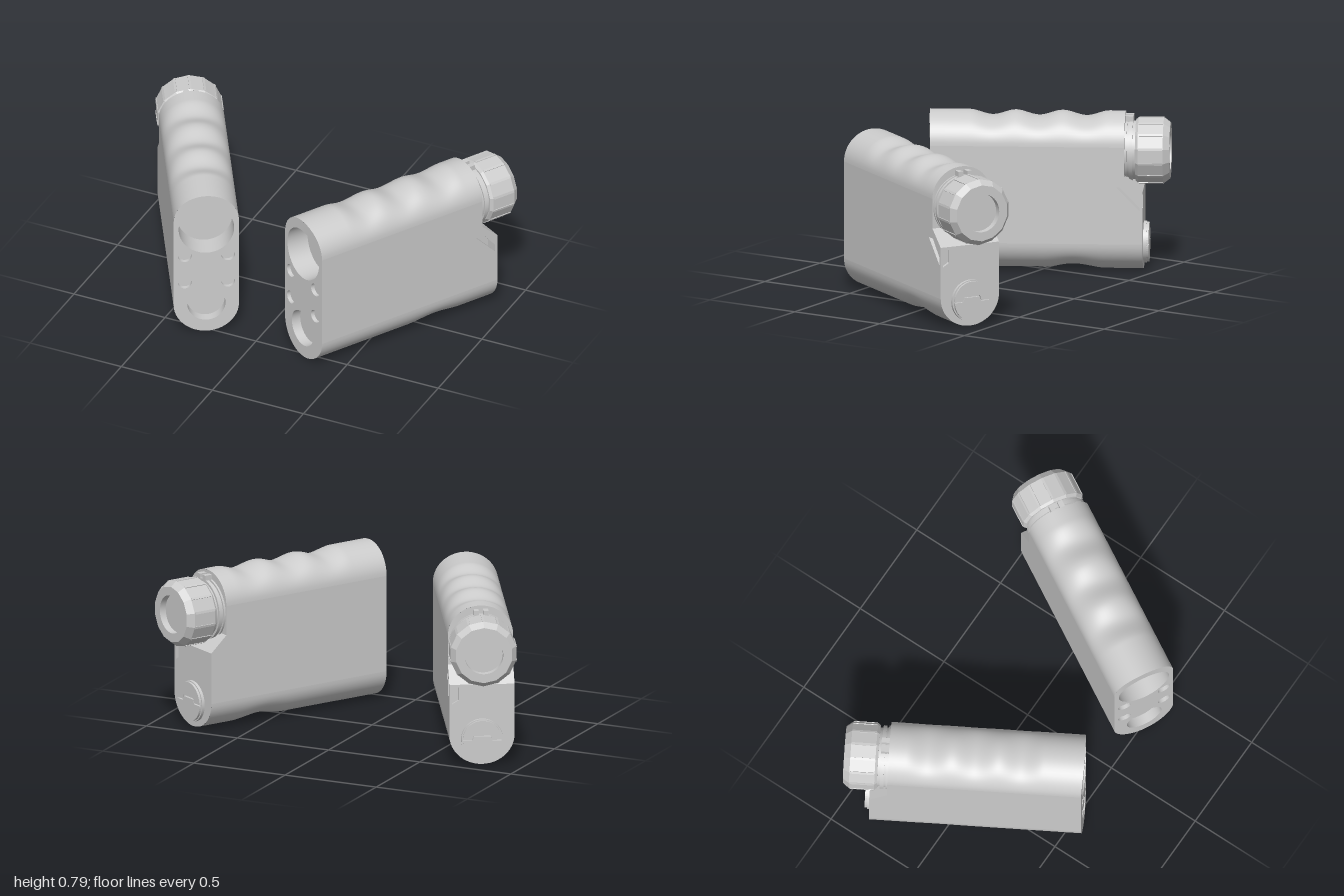
import * as THREE from 'three';

const HW = 0.162, ARCH = 0.15;           // half width and height of the rounded top and bottom
const YT = 0.64, YB = 0.15;              // where the flat sides meet the rounded parts
const FRONT = 0.592, BACK_TOP = -0.37, BACK_LOW = -0.46;

const mat = new THREE.MeshStandardMaterial({ color: 0xcccccc });
const flat = new THREE.MeshStandardMaterial({ color: 0xcccccc, flatShading: true });
const bow = x => FRONT + 0.008 * (1 - (x / HW) ** 2);
const hump = (z, c, w) => { const s = Math.max(0, 1 - Math.abs(z - c) / w); return s * s * (3 - 2 * s); };

function add(group, name, geo, material = mat) {
  const m = new THREE.Mesh(geo, material);
  m.name = name;
  group.add(m);
  return m;
}
const V = list => list.map(([x, y]) => new THREE.Vector2(x, y));
const circle = (cx, cy, r, n = 36, a0 = 0, a1 = 2 * Math.PI) => Array.from({ length: n }, (_, i) => {
  const a = a0 + (a1 - a0) * i / n;
  return new THREE.Vector2(cx + r * Math.cos(a), cy + r * Math.sin(a));
});
const archPoints = (cy, a0, n = 24) => Array.from({ length: n + 1 }, (_, i) => {
  const a = a0 + Math.PI * i / n;
  return new THREE.Vector2(HW * Math.cos(a), cy + ARCH * Math.sin(a));
});
function face(outline, holes = []) {
  const s = new THREE.Shape(outline);
  holes.forEach(h => s.holes.push(new THREE.Path(h)));
  return new THREE.ShapeGeometry(s);
}
function buffer(pos, idx) {
  const g = new THREE.BufferGeometry();
  g.setAttribute('position', new THREE.Float32BufferAttribute(pos, 3));
  g.setIndex(idx);
  g.computeVertexNormals();
  return g;
}

// Inward-facing walls and floor of a hole, opening towards +z
function pocket(group, name, pts, depth, rim = () => 0, place = g => g) {
  const pos = [], idx = [], n = pts.length;
  pts.forEach(p => pos.push(p.x, p.y, rim(p.x), p.x, p.y, rim(p.x) - depth));
  for (let i = 0; i < n; i++) {
    const a = 2 * i, b = 2 * ((i + 1) % n);
    idx.push(a, b, b + 1, a, b + 1, a + 1);
  }
  add(group, name + 'Wall', place(buffer(pos, idx)), n < 8 ? flat : mat);
  const floor = face(pts), p = floor.attributes.position;
  for (let i = 0; i < p.count; i++) p.setZ(i, rim(p.getX(i)) - depth);
  add(group, name + 'Floor', place(floor));
}

// Rounded top or bottom skin, with a rule that dents it
function archSkin(cy, a0, zBack, dent) {
  const rows = 120, cols = 28, pos = [], idx = [];
  for (let i = 0; i <= rows; i++) for (let j = 0; j <= cols; j++) {
    const a = a0 + Math.PI * j / cols, x = HW * Math.cos(a), s = Math.sin(a);
    const z = bow(x) + (zBack - bow(x)) * i / rows;
    pos.push(x, dent(cy + ARCH * s, z, s, x), z);
    if (i < rows && j < cols) {
      const p = i * (cols + 1) + j, q = p + cols + 1;
      idx.push(p, q, q + 1, p, q + 1, p + 1);
    }
  }
  return buffer(pos, idx);
}

function buildBody(g) {
  // Finger grooves on top, thumb dent and flat door underneath
  add(g, 'gripTop', archSkin(YT, 0, BACK_TOP, (y, z, s) =>
    y - 0.027 * s * s * [0.29, 0.06, -0.175].reduce((t, c) => t + hump(z, c, 0.115), 0)));
  add(g, 'underside', archSkin(YB, Math.PI, BACK_LOW, (y, z, s) =>
    z > 0.04 && z < 0.37 ? Math.max(y, 0.011) : y + 0.022 * s * s * hump(z, -0.115, 0.16)));

  // Flat sides, with a strap slot on the left one
  const side = [[-FRONT, YB], [-BACK_LOW, YB], [-BACK_LOW, 0.41], [-BACK_TOP, 0.49], [-BACK_TOP, YT], [-FRONT, YT]];
  const slot = V([[0.33, 0.44], [0.445, 0.32], [0.445, 0.36], [0.375, 0.44]]);
  const toLeft = q => q.rotateY(Math.PI / 2).translate(HW, 0, 0);
  add(g, 'leftSide', toLeft(face(V(side), [slot])));
  pocket(g, 'strapSlot', slot, 0.06, undefined, toLeft);
  add(g, 'rightSide', face(V(side.map(([u, y]) => [-u, y]))).rotateY(-Math.PI / 2).translate(-HW, 0, 0));

  // Front plate with lens openings and screw holes
  const holes = [['mainLens', 0, 0.596, 0.138, 0.12], ['smallLens', 0, 0.16, 0.095, 0.05]];
  for (const x of [-0.108, 0.108]) for (const y of [0.285, 0.44]) holes.push(['screwHole', x, y, 0.034, 0.02]);
  const rings = holes.map(([, x, y, r]) => circle(x, y, r, r > 0.05 ? 48 : 24));
  const plate = face([...archPoints(YT, 0), ...archPoints(YB, Math.PI)], rings);
  const p = plate.attributes.position;
  for (let i = 0; i < p.count; i++) p.setZ(i, bow(p.getX(i)));
  add(g, 'frontPlate', plate);
  holes.forEach(([name, , , , depth], i) => pocket(g, name, rings[i], depth, bow));

  // Stepped back: upper wall, sloping ledge, lower wall with the strap exit
  const toBack = z => q => q.rotateY(Math.PI).translate(0, 0, z);
  add(g, 'upperBack', toBack(BACK_TOP)(face([...archPoints(YT, 0), ...V([[-HW, 0.49], [HW, 0.49]])])));
  const dz = BACK_TOP - BACK_LOW, dy = 0.08;
  add(g, 'ledge', new THREE.PlaneGeometry(2 * HW, Math.hypot(dz, dy)).rotateX(Math.atan2(dz, dy) - Math.PI)
    .translate(0, 0.45, (BACK_TOP + BACK_LOW) / 2));
  const exit = V([[-0.148, 0.31], [-0.115, 0.33], [-0.115, 0.395], [-0.148, 0.395]]);
  add(g, 'lowerBack', toBack(BACK_LOW)(face([...archPoints(YB, Math.PI), ...V([[HW, 0.41], [-HW, 0.41]])], [exit])));
  pocket(g, 'strapExit', exit, 0.015, undefined, toBack(BACK_LOW));
}

function buildEyepiece(g) {
  const eye = new THREE.Group();
  eye.name = 'eyepiece';
  const lathe = (pts, n) => new THREE.LatheGeometry(V(pts), n).rotateX(-Math.PI / 2);
  // Stepped neck
  const steps = [[0.157, 0.36, 0.38], [0.148, 0.38, 0.39], [0.157, 0.39, 0.408], [0.145, 0.408, 0.435]];
  for (const [r, a, b] of steps) add(eye, 'neckRing', new THREE.CylinderGeometry(r, r, b - a, 48)
    .rotateX(Math.PI / 2).translate(0, 0, -(a + b) / 2));
  // Faceted focus knob
  const N = 14, R = 0.142;
  add(eye, 'focusKnob', lathe([[0.13, 0.422], [0.156, 0.422], [0.167, 0.435], [0.167, 0.56], [R, 0.592]], N), flat);
  for (let i = 0; i < N; i++) {
    const a = 2 * Math.PI * i / N;
    const rib = add(eye, 'knobRib', new THREE.BoxGeometry(0.012, 0.008, 0.12));
    rib.position.set(0.165 * Math.sin(a), 0.165 * Math.cos(a), -0.498);
    rib.rotation.z = -a;
  }
  // Flat rim and recessed eye lens
  const rim = Array.from({ length: N }, (_, i) => new THREE.Vector2(
    R * Math.sin(2 * Math.PI * i / N), R * Math.cos(2 * Math.PI * i / N)));
  const toBack = q => q.rotateY(Math.PI).translate(0, 0, -0.592);
  const opening = circle(0, 0, 0.096, 48);
  // Mirror the rim so it meets the knob after turning to the back
  add(eye, 'eyeRim', toBack(face(rim.map(v => new THREE.Vector2(-v.x, v.y)), [opening])));
  pocket(eye, 'eyeLens', opening, 0.035, undefined, toBack);
  // Index lugs above the neck
  for (const x of [-0.024, 0.024]) {
    const lug = add(eye, 'indexLug', new THREE.BoxGeometry(0.026, 0.03, 0.045));
    lug.position.set(x, 0.163, -0.388);
  }
  eye.position.y = 0.595;
  g.add(eye);
}

function buildBatteryCap(g) {
  const cap = new THREE.Group();
  cap.name = 'batteryCap';
  add(cap, 'capBase', new THREE.CylinderGeometry(0.104, 0.104, 0.02, 48).rotateX(Math.PI / 2));
  // Two halves parted by a stepped groove
  const step = h => V([[-0.05, h], [-0.042, h + 0.022], [0.042, h + 0.022], [0.05, h]]);
  const upper = [...circle(0, 0.003, 0.096, 24, 0, Math.PI), ...V([[-0.096, 0.003]]), ...step(0.003)];
  const lower = [...circle(0, -0.003, 0.096, 24, Math.PI, 2 * Math.PI), ...V([[0.096, -0.003]]), ...step(-0.003).reverse()];
  for (const pts of [upper, lower]) add(cap, 'capHalf',
    new THREE.ExtrudeGeometry(new THREE.Shape(pts), { depth: 0.012, bevelEnabled: false })
      .rotateY(Math.PI).translate(0, 0, -0.01), flat);
  cap.position.set(0, 0.13, BACK_LOW - 0.005);
  g.add(cap);
}

export function createModel() {
  const model = new THREE.Group();
  const unit = new THREE.Group();
  buildBody(unit);
  buildEyepiece(unit);
  buildBatteryCap(unit);
  // The same device twice, fronts turned towards each other
  [['leftRangefinder', 1], ['rightRangefinder', -1]].forEach(([name, s]) => {
    const copy = unit.clone();
    copy.name = name;
    copy.position.set(s * 0.563, 0, 0);
    copy.rotation.y = -s * Math.PI / 6;
    model.add(copy);
  });
  return model;
}
